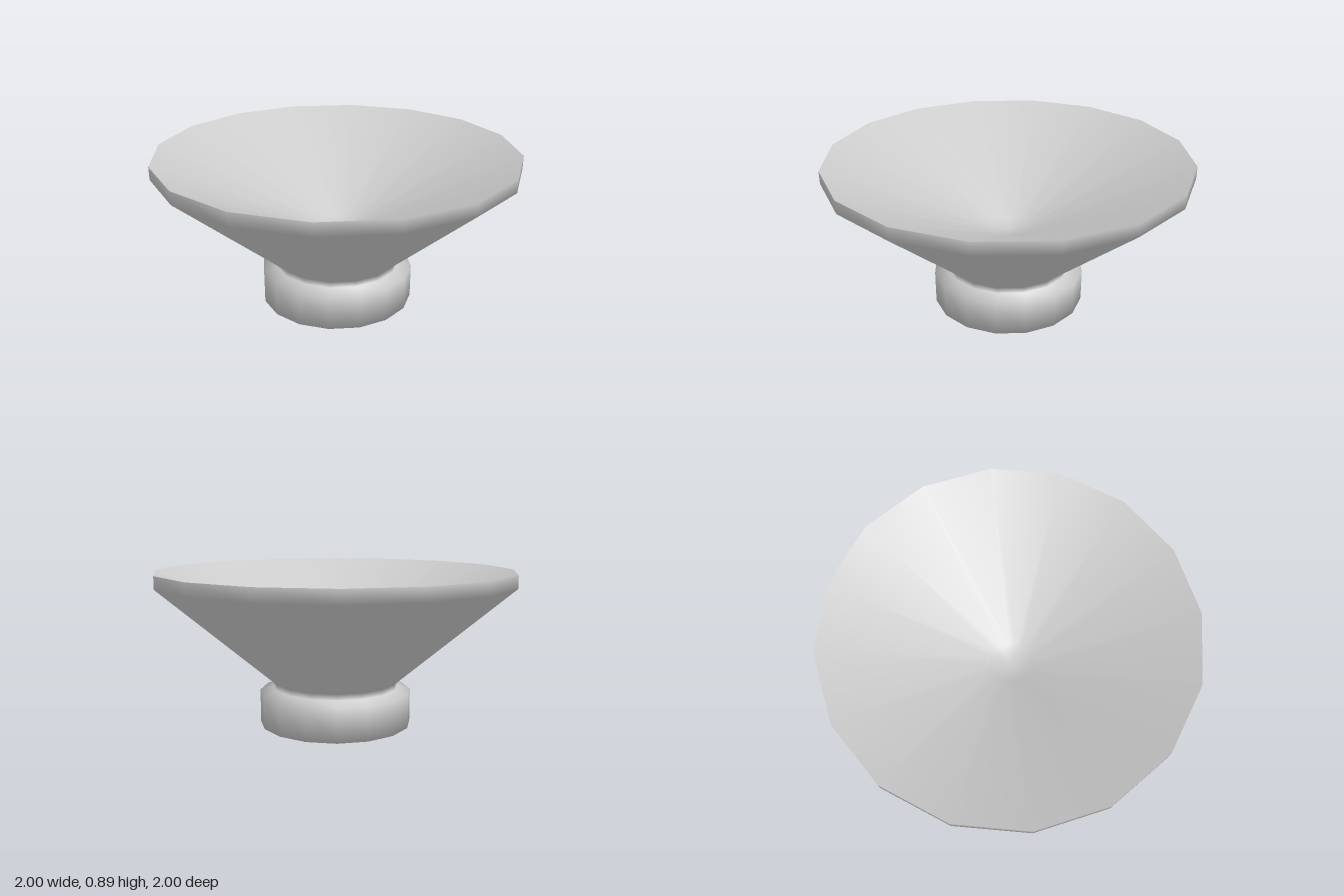
import * as THREE from 'three';
import { mergeVertices } from 'three/addons/utils/BufferGeometryUtils.js';

const SIDES = 16;
// profiles give the distance to the flat sides; corners lie further out
const CORNER = 1 / Math.cos(Math.PI / SIDES);

function turned(name, profile, material) {
  const points = profile.map(([r, y]) => new THREE.Vector2(r * CORNER, y));
  let geometry = new THREE.LatheGeometry(points, SIDES, Math.PI / SIDES, Math.PI * 2);
  // weld the seam and poles, then smooth by face area
  geometry.deleteAttribute('uv');
  geometry.deleteAttribute('normal');
  geometry = mergeVertices(geometry);
  geometry.computeVertexNormals();
  const mesh = new THREE.Mesh(geometry, material);
  mesh.name = name;
  return mesh;
}

export function createModel() {
  const model = new THREE.Group();
  model.name = 'footedBowl';
  const material = new THREE.MeshStandardMaterial({ color: 0xcccccc, side: THREE.DoubleSide });

  // closed foot, sloping shoulder, neck, flaring wall and upright rim band
  model.add(turned('footAndOuterWall', [
    [0, 0], [0.43, 0], [0.43, 0.19], [0.355, 0.215],
    [0.355, 0.25], [1, 0.817], [1, 0.888],
  ], material));
  // shallow conical hollow with a small rounded centre
  model.add(turned('innerBowl', [[1, 0.888], [0.12, 0.45], [0, 0.43]], material));

  return model;
}
